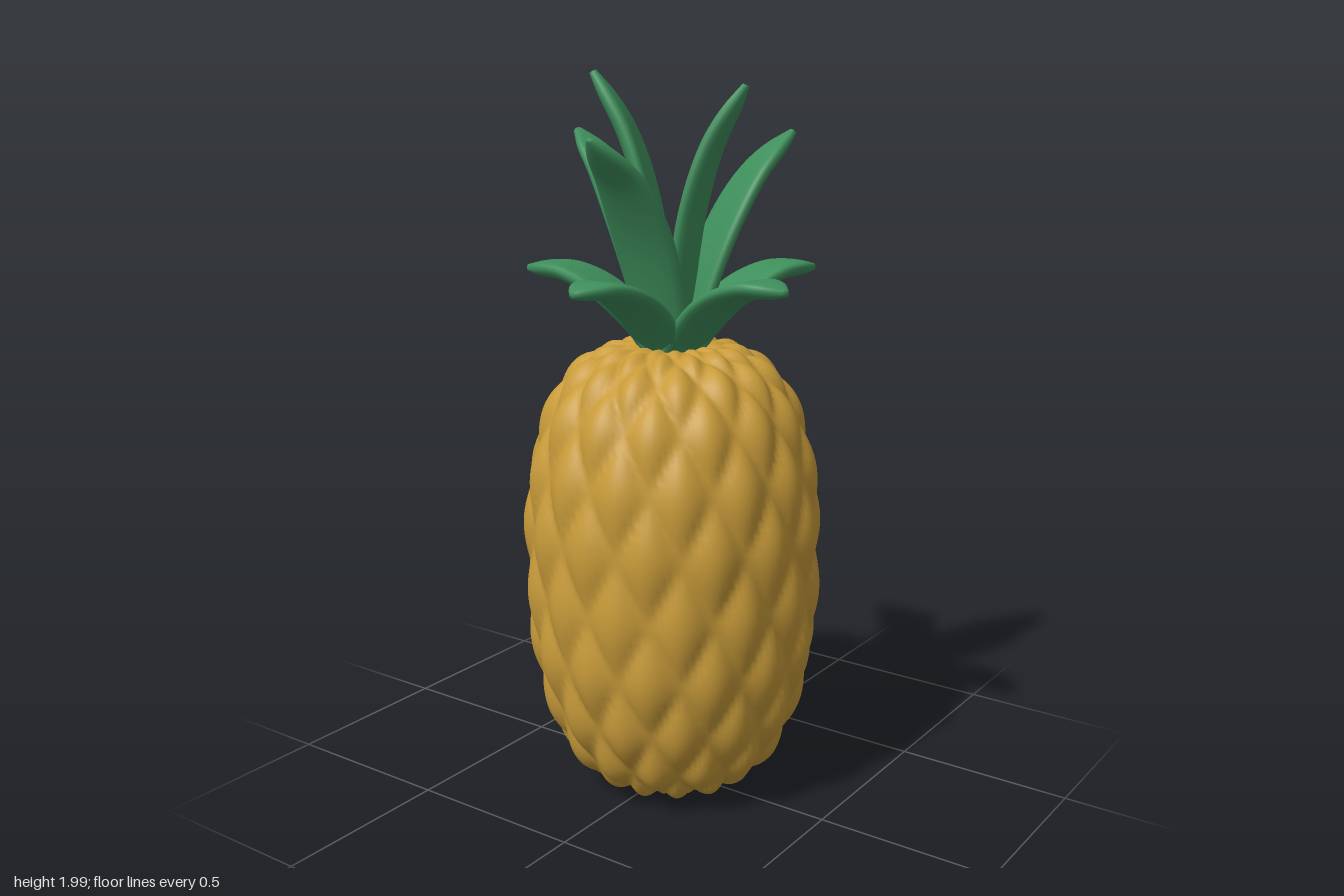
import * as THREE from 'three';
import { mergeVertices } from 'three/addons/utils/BufferGeometryUtils.js';

const AROUND = 14; // diamonds around the fruit
const STEPS = 110; // points along the fruit outline

// Fruit: a lathed barrel pushed outward in a staggered diamond pattern
function fruitGeometry() {
  const outline = [
    [0, 0.015], [0.1, 0.022], [0.18, 0.048], [0.25, 0.1], [0.305, 0.19], [0.345, 0.31], [0.372, 0.46], [0.38, 0.65],
    [0.378, 0.83], [0.358, 0.97], [0.322, 1.09], [0.272, 1.175], [0.2, 1.23], [0.12, 1.257], [0, 1.26],
  ].map(([r, y]) => new THREE.Vector3(r, y, 0));
  const profile = new THREE.CatmullRomCurve3(outline).getSpacedPoints(STEPS)
    .map((p) => new THREE.Vector2(Math.max(0, p.x), p.y));
  // Diamonds get shorter where the fruit gets narrower
  const rows = [0];
  for (let i = 1; i <= STEPS; i++) {
    rows.push(rows[i - 1] + profile[i].distanceTo(profile[i - 1]) / (0.92 * Math.max(profile[i].x, 0.14)));
  }
  const lathe = new THREE.LatheGeometry(profile, AROUND * 12);
  const { position, normal, uv } = lathe.attributes;
  const p = new THREE.Vector3(), n = new THREE.Vector3();
  for (let i = 0; i < position.count; i++) {
    p.fromBufferAttribute(position, i);
    n.fromBufferAttribute(normal, i);
    const u = uv.getX(i) * AROUND, v = rows[i % (STEPS + 1)];
    const diamond = Math.abs(Math.sin(Math.PI * (u + v)) * Math.sin(Math.PI * (u - v)));
    const fade = THREE.MathUtils.smoothstep(Math.hypot(p.x, p.z), 0.02, 0.22);
    p.addScaledVector(n, 0.008 + 0.026 * fade * Math.pow(diamond, 0.75));
    position.setXYZ(i, p.x, p.y, p.z);
  }
  // Weld the seam so the shading stays smooth
  lathe.deleteAttribute('uv');
  lathe.deleteAttribute('normal');
  const geometry = mergeVertices(lathe, 1e-5);
  geometry.computeVertexNormals();
  return geometry;
}

// Half width of a leaf from root to tip
const leafWidth = new THREE.CatmullRomCurve3(
  [[0, 0.075], [0.25, 0.087], [0.5, 0.096], [0.72, 0.083], [0.91, 0.05], [1, 0.012]]
    .map(([t, w]) => new THREE.Vector3(t, w, 0)));

// Leaf: thick, slightly cupped sections swept along an arc of [reach, height] points
function leafGeometry(angle, arc) {
  const path = new THREE.SplineCurve(arc.map(([r, y]) => new THREE.Vector2(r, y)));
  const out = new THREE.Vector3(Math.cos(angle), 0, Math.sin(angle));
  const side = new THREE.Vector3(out.z, 0, -out.x);
  const RINGS = 28, SIDES = 20;
  const points = [], index = [];
  for (let i = 0; i <= RINGS; i++) {
    const t = i / RINGS;
    const c = path.getPointAt(t), d = path.getTangentAt(t);
    const w = leafWidth.getPointAt(t);
    const thick = 0.025 * Math.sqrt(Math.max(0.15, 1 - Math.pow(t, 12)));
    for (let j = 0; j < SIDES; j++) {
      const a = (j / SIDES) * Math.PI * 2;
      const rise = Math.sign(Math.sin(a)) * Math.pow(Math.abs(Math.sin(a)), 0.75);
      const lift = thick * rise + 0.12 * w.y * (Math.cos(a) ** 2 - 0.5);
      const p = out.clone().multiplyScalar(c.x - d.y * lift).addScaledVector(side, w.y * Math.cos(a));
      points.push(p.x, c.y + d.x * lift, p.z);
      if (i < RINGS) {
        const k = i * SIDES + j, l = i * SIDES + (j + 1) % SIDES;
        index.push(k, l, k + SIDES, l, l + SIDES, k + SIDES);
      }
    }
  }
  // Close the tip
  const tip = path.getPointAt(1), last = RINGS * SIDES;
  points.push(out.x * (tip.x + 0.004), tip.y, out.z * (tip.x + 0.004));
  for (let j = 0; j < SIDES; j++) index.push(last + j, last + (j + 1) % SIDES, last + SIDES);
  const geometry = new THREE.BufferGeometry();
  geometry.setAttribute('position', new THREE.Float32BufferAttribute(points, 3));
  geometry.setIndex(index);
  geometry.computeVertexNormals();
  return geometry;
}

export function createModel() {
  const golden = new THREE.MeshStandardMaterial({ name: 'golden skin', color: 0xc89b3a });
  const green = new THREE.MeshStandardMaterial({ name: 'leaf green', color: 0x3f8f5c });
  const model = new THREE.Group();
  model.name = 'pineapple';

  const fruit = new THREE.Mesh(fruitGeometry(), golden);
  fruit.name = 'fruit';
  model.add(fruit);

  // Crown: five drooping, three slanted and two upright leaves
  const low = [[0.02, 1.23], [0.1, 1.33], [0.2, 1.415], [0.31, 1.462], [0.425, 1.462]];
  const mid = [[0.03, 1.23], [0.075, 1.4], [0.14, 1.57], [0.235, 1.725], [0.35, 1.832]];
  const high = [[0, 1.23], [0.025, 1.42], [0.06, 1.65], [0.12, 1.84], [0.21, 1.99]];
  const shorter = high.map(([r, y]) => [r * 0.93, y - (y - 1.23) * 0.045]);
  const crown = new THREE.Group();
  crown.name = 'crown';
  const addLeaf = (name, degrees, arc) => {
    const leaf = new THREE.Mesh(leafGeometry(THREE.MathUtils.degToRad(degrees), arc), green);
    leaf.name = name;
    crown.add(leaf);
  };
  for (const degrees of [180, 104, 32, -32, -105]) addLeaf('droopingLeaf', degrees, low);
  for (const degrees of [180, 33, -84]) addLeaf('slantedLeaf', degrees, mid);
  addLeaf('uprightBackLeaf', -117, high);
  addLeaf('uprightFrontLeaf', 72, shorter);
  model.add(crown);
  return model;
}
